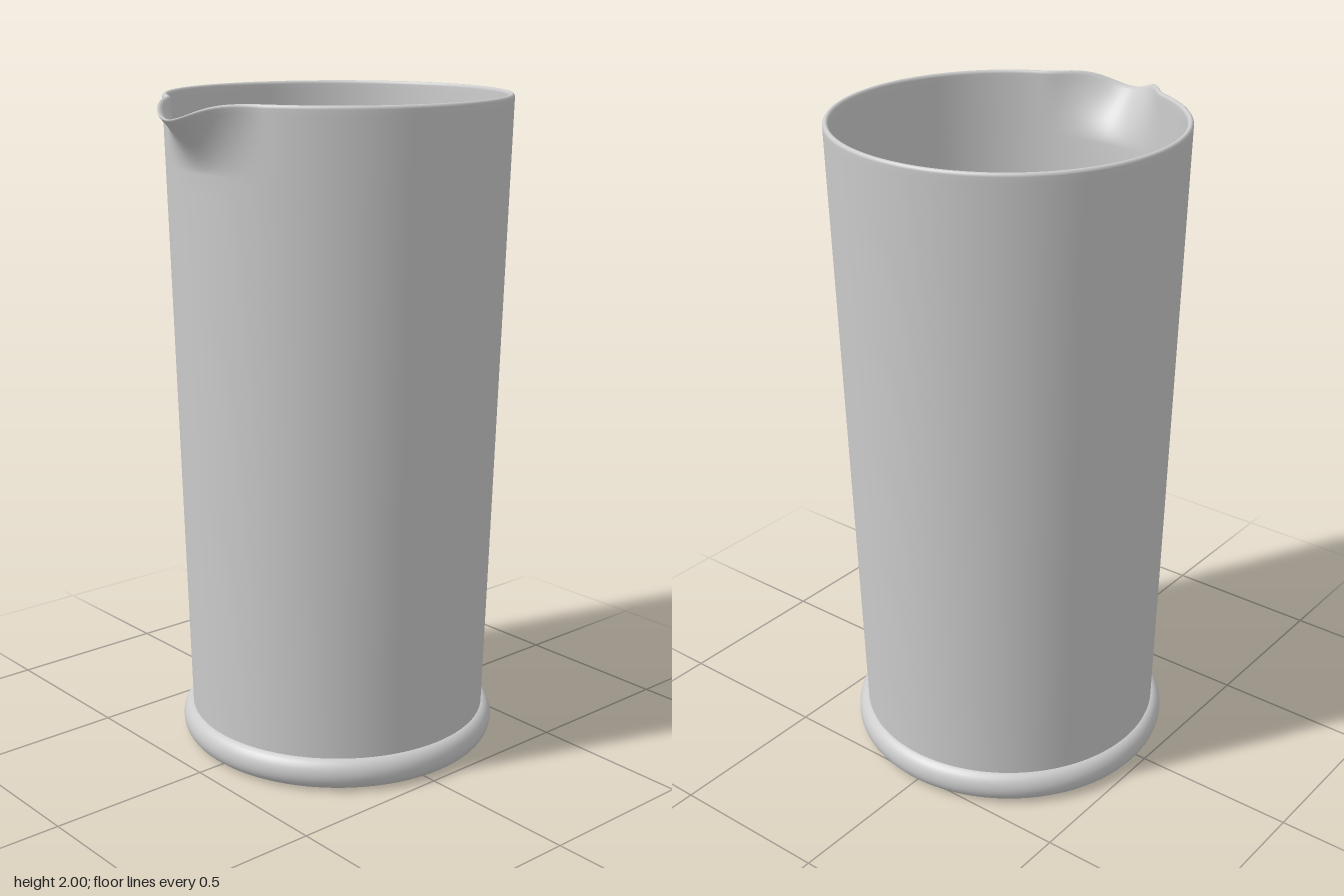
import * as THREE from 'three';
import { mergeVertices } from 'three/addons/utils/BufferGeometryUtils.js';

const SEGMENTS = 192;
const WALL = 0.017;      // glass thickness
const CENTRE_X = 0.051;  // the cup sits off-centre because of the spout
const outerRadius = (y) => 0.46 + (0.052 * (y - 0.1)) / 1.9;

function lathe(points) {
  return new THREE.LatheGeometry(points.map(([r, y]) => new THREE.Vector2(r, y)), SEGMENTS);
}

// Outer wall, rounded rim and inner wall in one continuous profile
function wallProfile() {
  const heights = [0.09, 0.5, 1, 1.5, 1.75];
  for (let i = 0; i <= 12; i++) heights.push(1.8 + 0.19 * (i / 12));
  const outer = heights.map((y) => [outerRadius(y), y]);
  const rim = [];
  for (let i = 1; i < 8; i++) {
    const a = (Math.PI * i) / 8;
    rim.push([outerRadius(1.99) - (WALL / 2) * (1 - Math.cos(a)), 1.99 + 0.01 * Math.sin(a)]);
  }
  const inner = heights.map((y) => [outerRadius(y) - WALL, y]).reverse();
  return [...outer, ...rim, ...inner];
}

// Pull the top of the wall outwards on the -x side and dip its lip
function formSpout(geometry) {
  const p = geometry.attributes.position;
  const halfAngle = THREE.MathUtils.degToRad(26);
  for (let i = 0; i < p.count; i++) {
    const x = p.getX(i), y = p.getY(i), z = p.getZ(i);
    const angle = Math.abs(Math.atan2(z, -x));
    if (y <= 1.8 || angle >= halfAngle) continue;
    const across = 0.5 * (1 + Math.cos((Math.PI * angle) / halfAngle));
    const up = (y - 1.8) / 0.2;
    const r = Math.hypot(x, z);
    const scale = (r + 0.108 * across * Math.pow(up, 1.6)) / r;
    p.setXYZ(i, x * scale, y - 0.045 * up * across ** 3, z * scale);
  }
}

// Weld the lathe seam so that shading stays continuous
function smooth(geometry) {
  geometry.deleteAttribute('uv');
  geometry.deleteAttribute('normal');
  const welded = mergeVertices(geometry, 1e-5);
  welded.computeVertexNormals();
  return welded;
}

export function createModel() {
  const group = new THREE.Group();
  group.name = 'beaker';
  const material = new THREE.MeshStandardMaterial({ color: 0xcccccc, side: THREE.DoubleSide });
  const add = (name, geometry) => {
    const mesh = new THREE.Mesh(geometry, material);
    mesh.name = name;
    mesh.position.x = CENTRE_X;
    group.add(mesh);
  };

  // Tapered wall with pouring spout
  const wall = lathe(wallProfile());
  formSpout(wall);
  add('wallWithSpout', smooth(wall));

  // Inside floor
  add('floor', lathe([[outerRadius(0.1) - WALL, 0.1], [0, 0.1]]));

  // Rounded foot ring, closed underneath
  const foot = [[0, 0], [0.43, 0], [0.445, 0.001]];
  for (let i = 0; i <= 14; i++) {
    const a = -Math.PI / 2 + (Math.PI * i) / 14;
    foot.push([0.452 + 0.039 * Math.cos(a), 0.05 + 0.048 * Math.sin(a)]);
  }
  foot.push([0.448, 0.098]);
  add('foot', lathe(foot));

  return group;
}
